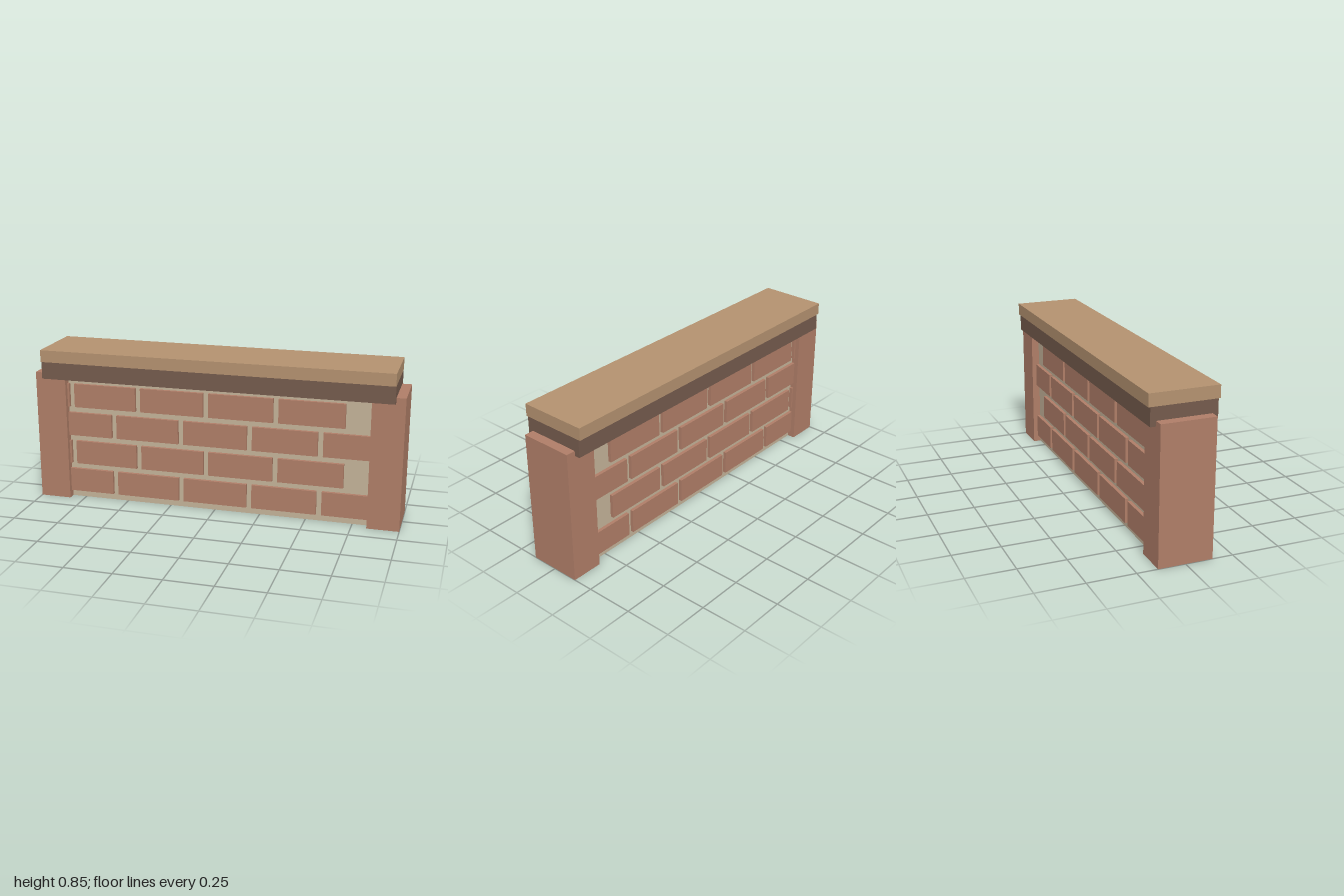
import * as THREE from 'three';

export function createModel() {
  const group = new THREE.Group();
  const material = (name, color) => {
    const m = new THREE.MeshStandardMaterial({ color });
    m.name = name;
    return m;
  };
  const brick = material('brick red', 0xb07e68);
  const mortar = material('mortar', 0xc4b399);
  const darkWood = material('dark trim', 0x755b4d);
  const tan = material('tan coping', 0xb49270);

  // Box given by its minimum and maximum corners
  function box(name, mat, x0, x1, y0, y1, z0, z1) {
    const mesh = new THREE.Mesh(new THREE.BoxGeometry(x1 - x0, y1 - y0, z1 - z0), mat);
    mesh.position.set((x0 + x1) / 2, (y0 + y1) / 2, (z0 + z1) / 2);
    mesh.name = name;
    group.add(mesh);
  }

  const inner = 0.83; // inner face of the end pillars

  // Mortar core between the pillars
  box('mortarCore', mortar, -inner, inner, 0, 0.7, -0.1, 0.1);

  // End pillars
  box('rightPillar', brick, -1, -inner, 0, 0.715, -0.142, 0.142);
  box('leftPillar', brick, inner, 1, 0, 0.715, -0.142, 0.142);

  // Staggered brick courses on both faces, trimmed where they meet the pillars
  const width = 0.35, pitch = 0.379;
  for (let row = 0; row < 4; row++) {
    const y = 0.037 + row * 0.1625;
    const start = row % 2 ? -1.169 : -0.93;
    for (let i = 0; i < 5; i++) {
      const x0 = Math.max(start + i * pitch, -inner);
      const x1 = Math.min(start + i * pitch + width, inner);
      box('frontBrick', brick, x0, x1, y, y + 0.131, 0.09, 0.118);
      box('backBrick', brick, x0, x1, y, y + 0.131, -0.118, -0.09);
    }
  }

  // Dark trim and coping slab
  box('capTrim', darkWood, -0.95, 0.95, 0.688, 0.783, -0.171, 0.171);
  box('copingSlab', tan, -0.95, 0.95, 0.783, 0.848, -0.181, 0.181);

  return group;
}
